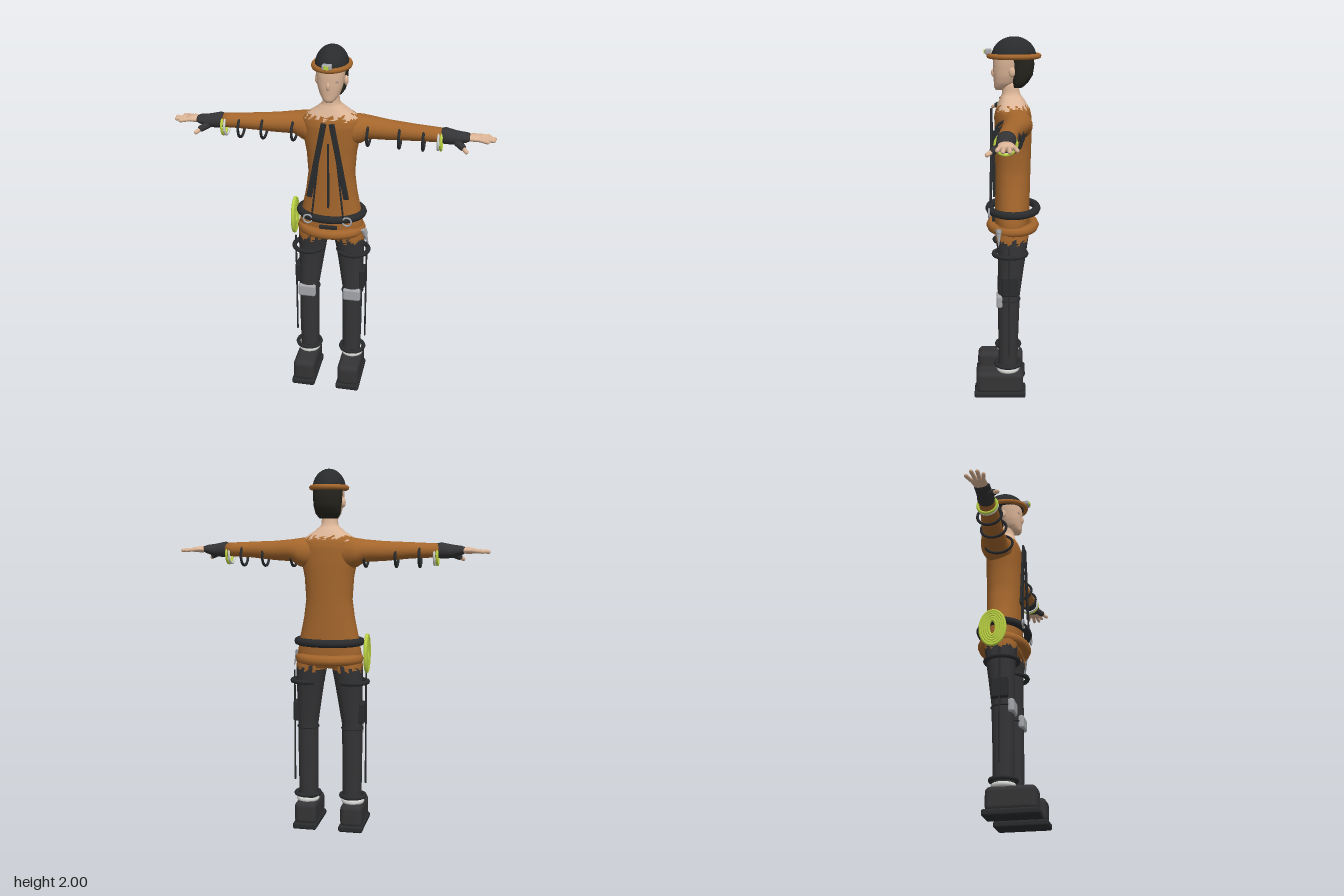
import * as THREE from 'three';
import { mergeVertices } from 'three/addons/utils/BufferGeometryUtils.js';
import { RoundedBoxGeometry } from 'three/addons/geometries/RoundedBoxGeometry.js';

const V = (x, y, z) => new THREE.Vector3(x, y, z);

// Closed body through sections [y, cx, rx, cz, rz]; test picks triangles for the second material
function loft(sections, { seg = 28, sub = 3, pow = 2.3, test = null } = {}) {
  const rings = [];
  sections.forEach((s, i) => {
    const next = sections[i + 1];
    const n = next ? sub : 1;
    for (let k = 0; k < n; k++) rings.push(s.map((v, j) => (next ? v + (next[j] - v) * k / n : v)));
  });
  const pos = [], tris = [];
  const bend = (v) => Math.sign(v) * Math.abs(v) ** (2 / pow);
  for (const [y, cx, rx, cz, rz] of rings) {
    for (let i = 0; i < seg; i++) {
      const t = i / seg * Math.PI * 2;
      pos.push(cx + rx * bend(Math.cos(t)), y, cz + rz * bend(Math.sin(t)));
    }
  }
  for (let r = 0; r < rings.length - 1; r++) {
    for (let i = 0; i < seg; i++) {
      const a = r * seg + i, b = r * seg + (i + 1) % seg;
      tris.push([a, a + seg, b], [b, a + seg, b + seg]);
    }
  }
  const last = (rings.length - 1) * seg, base = rings.length * seg;
  for (const s of [rings[0], rings[rings.length - 1]]) pos.push(s[1], s[0], s[3]);
  for (let i = 0; i < seg; i++) {
    const j = (i + 1) % seg;
    tris.push([base, i, j], [base + 1, last + j, last + i]);
  }
  const g = new THREE.BufferGeometry();
  g.setAttribute('position', new THREE.Float32BufferAttribute(pos, 3));
  const mid = (t, k) => (pos[t[0] * 3 + k] + pos[t[1] * 3 + k] + pos[t[2] * 3 + k]) / 3;
  const second = test ? tris.filter((t) => test(mid(t, 0), mid(t, 1), mid(t, 2))) : [];
  const picked = new Set(second);
  const first = tris.filter((t) => !picked.has(t));
  g.setIndex([...first, ...second].flat());
  if (test) {
    g.addGroup(0, first.length * 3, 0);
    g.addGroup(first.length * 3, second.length * 3, 1);
  }
  g.computeVertexNormals();
  return g;
}

// Same body laid along +x, sections [x, cy, ry, cz, rz]
function loftX(sections, options) {
  return loft(sections.map(([x, cy, ry, cz, rz]) => [x, -cy, ry, cz, rz]), options).rotateZ(-Math.PI / 2);
}

// Closed elliptical tube; upright rings lie in the yz plane
function ring(x, y, z, ra, rz, tube, upright = false) {
  const pts = [];
  for (let i = 0; i < 24; i++) {
    const t = i / 24 * Math.PI * 2, a = ra * Math.cos(t), c = z + rz * Math.sin(t);
    pts.push(upright ? V(x, y + a, c) : V(x + a, y, c));
  }
  return new THREE.TubeGeometry(new THREE.CatmullRomCurve3(pts, true), 48, tube, 8, true);
}

const box = (w, h, d, x, y, z, r = 0) =>
  (r ? new RoundedBoxGeometry(w, h, d, 3, r) : new THREE.BoxGeometry(w, h, d)).translate(x, y, z);
const ball = (rx, ry, rz, x, y, z) => new THREE.SphereGeometry(1, 20, 14).scale(rx, ry, rz).translate(x, y, z);

// Rounded rod between two points
function rod(a, b, r) {
  const d = b.clone().sub(a);
  const g = new THREE.CapsuleGeometry(r, Math.max(d.length() - 2 * r, 0.001), 4, 10);
  g.applyQuaternion(new THREE.Quaternion().setFromUnitVectors(V(0, 1, 0), d.normalize()));
  return g.translate((a.x + b.x) / 2, (a.y + b.y) / 2, (a.z + b.z) / 2);
}

function mirrored(geometry) {
  const g = geometry.index ? geometry.clone() : mergeVertices(geometry);
  g.scale(-1, 1, 1);
  const ix = g.index;
  for (let i = 0; i < ix.count; i += 3) {
    const t = ix.getX(i + 1);
    ix.setX(i + 1, ix.getX(i + 2));
    ix.setX(i + 2, t);
  }
  return g;
}

export function createModel() {
  const model = new THREE.Group();
  model.name = 'climber';
  const mat = (name, color) => Object.assign(new THREE.MeshStandardMaterial({ color }), { name });
  const orange = mat('rust orange cloth', 0xa4662c);
  const black = mat('charcoal cloth', 0x343436);
  const gear = mat('black gear', 0x2a2b2d);
  const skin = mat('skin', 0xdcb597);
  const hairMat = mat('dark hair', 0x25241d);
  const lime = mat('lime rope', 0xbfd644);
  const grey = mat('light grey', 0xa4a6aa);
  const white = mat('off white', 0xd2d4d0);
  const shade = mat('eye shade', 0xb09a8c);

  const add = (name, geometry, material) => {
    const m = new THREE.Mesh(geometry, material);
    m.name = name;
    model.add(m);
  };
  const pair = (name, geometry, material) => {
    add(name + 'Left', geometry, material);
    add(name + 'Right', mirrored(geometry), material);
  };
  const jag = (a) => 0.012 * Math.sin(a * 130) + 0.006 * Math.sin(a * 310);

  // Torso with a ragged neckline
  add('torso', loft([
    [0.93, 0, 0.160, -0.025, 0.088], [1.0, 0, 0.178, -0.025, 0.095], [1.08, 0, 0.165, -0.028, 0.095],
    [1.2, 0, 0.14, -0.03, 0.095], [1.3, 0, 0.127, -0.031, 0.096], [1.42, 0, 0.135, -0.032, 0.098],
    [1.5, 0, 0.15, -0.032, 0.1], [1.58, 0, 0.157, -0.03, 0.1], [1.615, 0, 0.155, -0.03, 0.092],
    [1.64, 0, 0.125, -0.028, 0.08], [1.67, 0, 0.08, -0.025, 0.065], [1.7, 0, 0.046, -0.02, 0.048],
    [1.76, 0, 0.04, -0.015, 0.042],
  ], { seg: 40, test: (x, y, z) => y > 1.634 + jag(x + z) }), [orange, skin]);

  // Sleeves, gloves and hands
  pair('sleeve', loftX([
    [0.05, 1.55, 0.085, -0.035, 0.075], [0.13, 1.552, 0.083, -0.045, 0.085], [0.16, 1.555, 0.076, -0.05, 0.083],
    [0.2, 1.565, 0.06, -0.05, 0.074], [0.3, 1.563, 0.053, -0.035, 0.06], [0.45, 1.567, 0.043, -0.012, 0.05],
    [0.59, 1.567, 0.037, 0, 0.045],
  ], { pow: 2, test: (x, y, z) => y > 1.61 && x < 0.14 + 2 * jag(z) }), [orange, skin]);
  pair('glove', loftX([
    [0.57, 1.567, 0.034, 0, 0.042], [0.6, 1.567, 0.043, 0.002, 0.047], [0.66, 1.562, 0.036, 0.008, 0.042],
    [0.71, 1.567, 0.024, 0.008, 0.042], [0.725, 1.568, 0.017, 0.006, 0.036],
  ], { pow: 2 }), black);
  pair('palm', loftX([
    [0.7, 1.567, 0.016, 0.006, 0.034], [0.75, 1.567, 0.018, 0.002, 0.04], [0.785, 1.565, 0.013, 0, 0.038],
  ], { pow: 2 }), skin);
  [[0.825, 0.045], [0.855, 0.018], [0.86, -0.014], [0.83, -0.05]].forEach(([x, z], i) =>
    pair('finger' + (i + 1), rod(V(0.76, 1.567, z * 0.6), V(x, 1.56, z), 0.0105), skin));
  pair('thumbSleeve', rod(V(0.65, 1.55, 0.025), V(0.705, 1.528, 0.075), 0.018), black);
  pair('thumb', rod(V(0.69, 1.535, 0.06), V(0.72, 1.515, 0.098), 0.011), skin);

  // Loops hanging on the arms
  [[0.2, -0.02, 0.078], [0.365, -0.012, 0.07], [0.49, -0.005, 0.066]].forEach(([x, z, r], i) =>
    pair('sleeveLoop' + (i + 1), ring(x, 1.535, z, 0.056, r, 0.0075, true), gear));
  pair('paleWristLoop', ring(0.567, 1.54, 0.005, 0.05, 0.052, 0.0065, true), white);
  pair('limeWristLoop', ring(0.582, 1.54, 0.005, 0.05, 0.052, 0.0075, true), lime);

  // Head
  add('face', loft([
    [1.72, 0, 0.018, 0.04, 0.022], [1.735, 0, 0.035, 0.03, 0.04], [1.76, 0, 0.053, 0.015, 0.056],
    [1.8, 0, 0.066, 0.008, 0.066], [1.86, 0, 0.074, 0, 0.075], [1.92, 0, 0.075, -0.005, 0.075],
  ]), skin);
  add('nose', ball(0.01, 0.022, 0.012, 0, 1.81, 0.073), skin);
  pair('eye', box(0.03, 0.01, 0.008, 0.036, 1.833, 0.062), shade);
  add('hair', loft([
    [1.735, 0, 0.048, -0.055, 0.028], [1.76, 0, 0.067, -0.068, 0.043], [1.8, 0, 0.074, -0.078, 0.058],
    [1.85, 0, 0.078, -0.08, 0.063], [1.92, 0, 0.08, -0.06, 0.08],
  ]), hairMat);
  pair('ear', ball(0.012, 0.026, 0.017, 0.076, 1.82, -0.025), skin);

  // Helmet with vents and lamp
  add('helmet', new THREE.SphereGeometry(1, 32, 12, 0, Math.PI * 2, 0, Math.PI / 2)
    .scale(0.088, 0.105, 0.118).translate(0, 1.893, -0.035), gear);
  add('helmetBase', new THREE.CylinderGeometry(1, 1, 0.01, 32).scale(0.088, 1, 0.118).translate(0, 1.89, -0.035), gear);
  add('helmetBrim', ring(0, 1.898, -0.035, 0.092, 0.131, 0.014), orange);
  for (const z of [-0.1, -0.07]) pair('vent', box(0.012, 0.012, 0.016, 0.022, 1.977 + (z + 0.07) * 0.4, z, 0.003), hairMat);
  add('lampBody', box(0.05, 0.026, 0.035, 0, 1.92, 0.1, 0.006), grey);
  add('lampLens', box(0.024, 0.018, 0.008, 0, 1.92, 0.12), lime);

  // Harness: shoulder straps, cords, zip, belt and rolled hem
  const strap = box(0.03, 0.43, 0.013, 0, 0, 0, 0.005).rotateZ(0.19).translate(0.061, 1.405, 0.085);
  pair('chestStrap', strap, gear);
  pair('chestCord', rod(V(0.035, 1.55, 0.085), V(0.088, 1.07, 0.092), 0.005), gear);
  add('zip', box(0.01, 0.37, 0.012, 0, 1.315, 0.071), gear);
  add('belt', ring(0, 1.07, -0.032, 0.174, 0.131, 0.022), gear);
  add('rolledHem', ring(0, 0.975, -0.03, 0.162, 0.117, 0.029), orange);
  add('buckle', box(0.1, 0.02, 0.018, 0, 1.012, 0.075, 0.004), gear);
  pair('beltRing', new THREE.TorusGeometry(0.024, 0.005, 8, 24).translate(0.108, 1.067, 0.098), grey);

  // Rope coil on the right hip
  for (let i = 0; i < 5; i++) {
    const k = i * 0.0135;
    add('ropeCoil' + (i + 1), ring(-0.214, 1.01, -0.05, 0.1 - k, 0.068 - k * 0.85, 0.0095, true), lime);
  }

  // Pick on the left hip
  add('pickHead', new THREE.ConeGeometry(0.018, 0.1, 8).rotateZ(Math.PI + 0.3).translate(0.208, 0.955, 0.045), grey);
  add('pickCollar', rod(V(0.185, 1.0, 0.045), V(0.215, 0.985, 0.045), 0.009), grey);

  // Legs with a ragged tunic edge
  pair('leg', loft([
    [0.15, 0.125, 0.052, -0.005, 0.053], [0.35, 0.126, 0.055, -0.006, 0.056], [0.6, 0.126, 0.056, -0.01, 0.06],
    [0.75, 0.115, 0.068, -0.02, 0.07], [0.85, 0.108, 0.077, -0.026, 0.079], [0.93, 0.1, 0.085, -0.026, 0.09],
    [1.0, 0.09, 0.088, -0.025, 0.09],
  ], { sub: 6, test: (x, y, z) => y > 0.925 + 1.3 * jag(x + z * 0.7) }), [black, orange]);
  pair('thighLoop', ring(0.127, 0.845, -0.016, 0.084, 0.088, 0.013), gear);
  pair('ankleLoop', ring(0.13, 0.19, -0.005, 0.067, 0.067, 0.012), gear);
  pair('sock', ring(0.13, 0.16, -0.005, 0.05, 0.05, 0.015), white);
  pair('kneePad', box(0.1, 0.074, 0.035, 0.13, 0.577, 0.042, 0.013), grey);
  pair('kneeStrap', ring(0.126, 0.58, -0.008, 0.058, 0.062, 0.005), gear);
  pair('thighPocket', box(0.035, 0.115, 0.09, 0.184, 0.673, -0.015, 0.01), gear);
  pair('sidePole', rod(V(0.203, 0.9, -0.012), V(0.203, 0.265, -0.012), 0.005), gear);

  // Boots
  pair('bootUpper', box(0.125, 0.13, 0.265, 0.131, 0.087, 0.041, 0.03), black);
  pair('bootSole', box(0.136, 0.036, 0.29, 0.131, 0.018, 0.04, 0.012), gear);

  return model;
}
